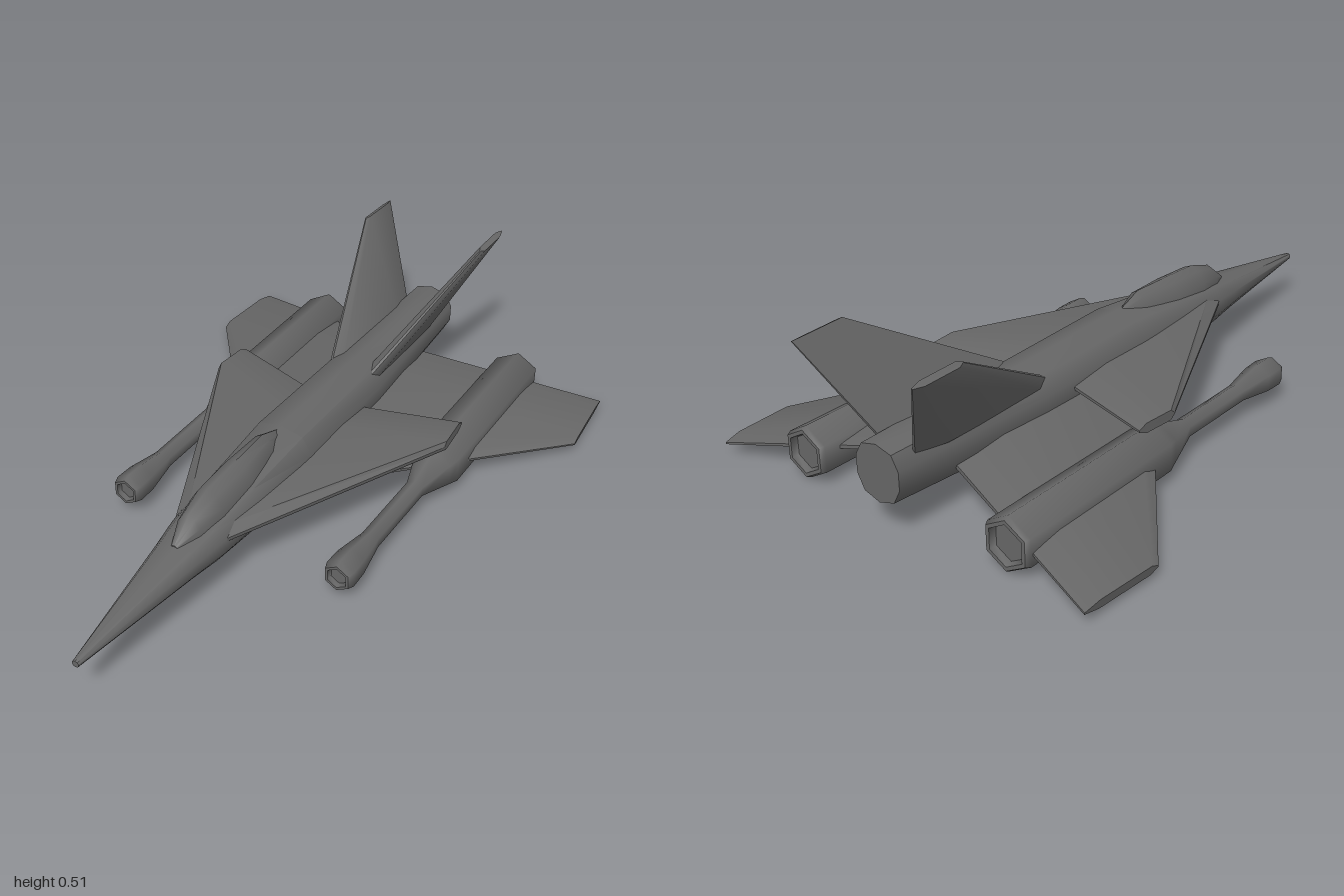
import * as THREE from 'three';
import { toCreasedNormals } from 'three/addons/utils/BufferGeometryUtils.js';

const hull = new THREE.MeshStandardMaterial({ color: 0x666666 });
hull.name = 'hullGrey';

// Skin a list of equal-length rings of points, close both ends, face outwards
function loft(rings, crease = 0.7) {
  const n = rings[0].length, pos = rings.flat(2), idx = [];
  for (let i = 0; i < rings.length - 1; i++) {
    for (let j = 0; j < n; j++) {
      const a = i * n + j, b = i * n + (j + 1) % n;
      idx.push(a, b, a + n, b, b + n, a + n);
    }
  }
  const last = (rings.length - 1) * n;
  for (let j = 1; j < n - 1; j++) idx.push(0, j + 1, j, last, last + j, last + j + 1);
  // Signed volume tells whether the faces point inwards
  const p = i => new THREE.Vector3(...pos.slice(i * 3, i * 3 + 3));
  let volume = 0;
  for (let i = 0; i < idx.length; i += 3) volume += p(idx[i]).dot(p(idx[i + 1]).cross(p(idx[i + 2])));
  if (volume < 0) idx.reverse();
  const g = new THREE.BufferGeometry();
  g.setAttribute('position', new THREE.Float32BufferAttribute(pos, 3));
  g.setIndex(idx);
  return toCreasedNormals(g, crease);
}

// Tapered flying surface between root and tip chords, with bevelled edges
function panel(side, { root, tip, thick }) {
  const up = new THREE.Vector2(root[0][1] - tip[0][1], tip[0][0] - root[0][0]).normalize();
  const ring = ([lead, trail], t) =>
    [[0, 0.2], [0.1, 1], [0.8, 1], [1, 0.2], [1, -0.2], [0.8, -1], [0.1, -1], [0, -0.2]].map(([f, h]) => {
      const [x, y, z] = lead.map((v, k) => v + (trail[k] - v) * f);
      return [side * (x + up.x * h * t / 2), y + up.y * h * t / 2, z];
    });
  return loft([ring(root, thick[0]), ring(tip, thick[1])]);
}

const FORE_WING = {
  root: [[0.06, 0.19, 0.5], [0.06, 0.19, -0.28]],
  tip: [[0.402, 0.19, -0.24], [0.39, 0.19, -0.38]],
  thick: [0.052, 0.03],
};
const MAIN_WING = {
  root: [[0.06, 0.141, 0.12], [0.06, 0.141, -0.735]],
  tip: [[0.658, 0.037, -0.66], [0.64, 0.04, -0.92]],
  thick: [0.062, 0.028],
};
const FIN = {
  root: [[0.06, 0.235, -0.35], [0.06, 0.235, -0.87]],
  tip: [[0.208, 0.515, -0.835], [0.206, 0.51, -1]],
  thick: [0.045, 0.02],
};

// Fuselage ring from its half width, bottom and top
function bodyRing([z, w, b, t]) {
  const half = [[0, 0], [0.7, 0.1], [1, 0.36], [1, 0.68], [0.7, 0.92], [0, 1]];
  const right = half.map(([x, y]) => [x * w, b + y * (t - b), z]);
  const left = right.slice(1, -1).reverse().map(([x, y, zz]) => [-x, y, zz]);
  return [...right, ...left];
}

// Canopy ring: an ellipse whose lower half is sunk in the fuselage
function canopyRing([z, w, top]) {
  return Array.from({ length: 12 }, (_, i) => {
    const a = i / 12 * Math.PI * 2;
    return [w * Math.cos(a), 0.21 + (top - 0.21) * Math.sin(a), z];
  });
}

// Six-sided engine pod with a slim forward barrel, recessed at both ends
function podGeometry() {
  const profile = [
    [0, -0.855], [0.054, -0.855], [0.06, -0.875], [0.072, -0.875], [0.08, -0.86],
    [0.08, -0.29], [0.068, -0.255], [0.03, -0.14], [0.03, 0.13], [0.048, 0.24],
    [0.05, 0.3], [0.042, 0.322], [0.033, 0.322], [0.03, 0.305], [0, 0.305],
  ].map(p => new THREE.Vector2(...p));
  return toCreasedNormals(new THREE.LatheGeometry(profile, 6).rotateX(Math.PI / 2), 1.1);
}

export function createModel() {
  const model = new THREE.Group();
  model.name = 'jetFighter';
  const add = (name, geometry) => {
    const mesh = new THREE.Mesh(geometry, hull);
    mesh.name = name;
    model.add(mesh);
    return mesh;
  };

  add('fuselage', loft([
    [1, 0.01, 0.14, 0.16], [0.56, 0.07, 0.11, 0.22], [0.46, 0.085, 0.1, 0.238],
    [0.28, 0.095, 0.084, 0.262], [0.03, 0.105, 0.07, 0.287], [-0.4, 0.1, 0.07, 0.277],
    [-0.75, 0.082, 0.09, 0.27], [-0.94, 0.075, 0.102, 0.268],
  ].map(bodyRing), 0.8));

  add('canopy', loft([
    [0.57, 0.012, 0.222], [0.5, 0.042, 0.278], [0.41, 0.058, 0.305],
    [0.27, 0.062, 0.311], [0.13, 0.045, 0.315], [0.04, 0.015, 0.28],
  ].map(canopyRing), 0.9));

  for (const [side, label] of [[1, 'left'], [-1, 'right']]) {
    add(label + 'ForeWing', panel(side, FORE_WING));
    add(label + 'MainWing', panel(side, MAIN_WING));
    add(label + 'TailFin', panel(side, FIN));
    add(label + 'EnginePod', podGeometry()).position.set(side * 0.36, 0.085, 0);
  }
  return model;
}
